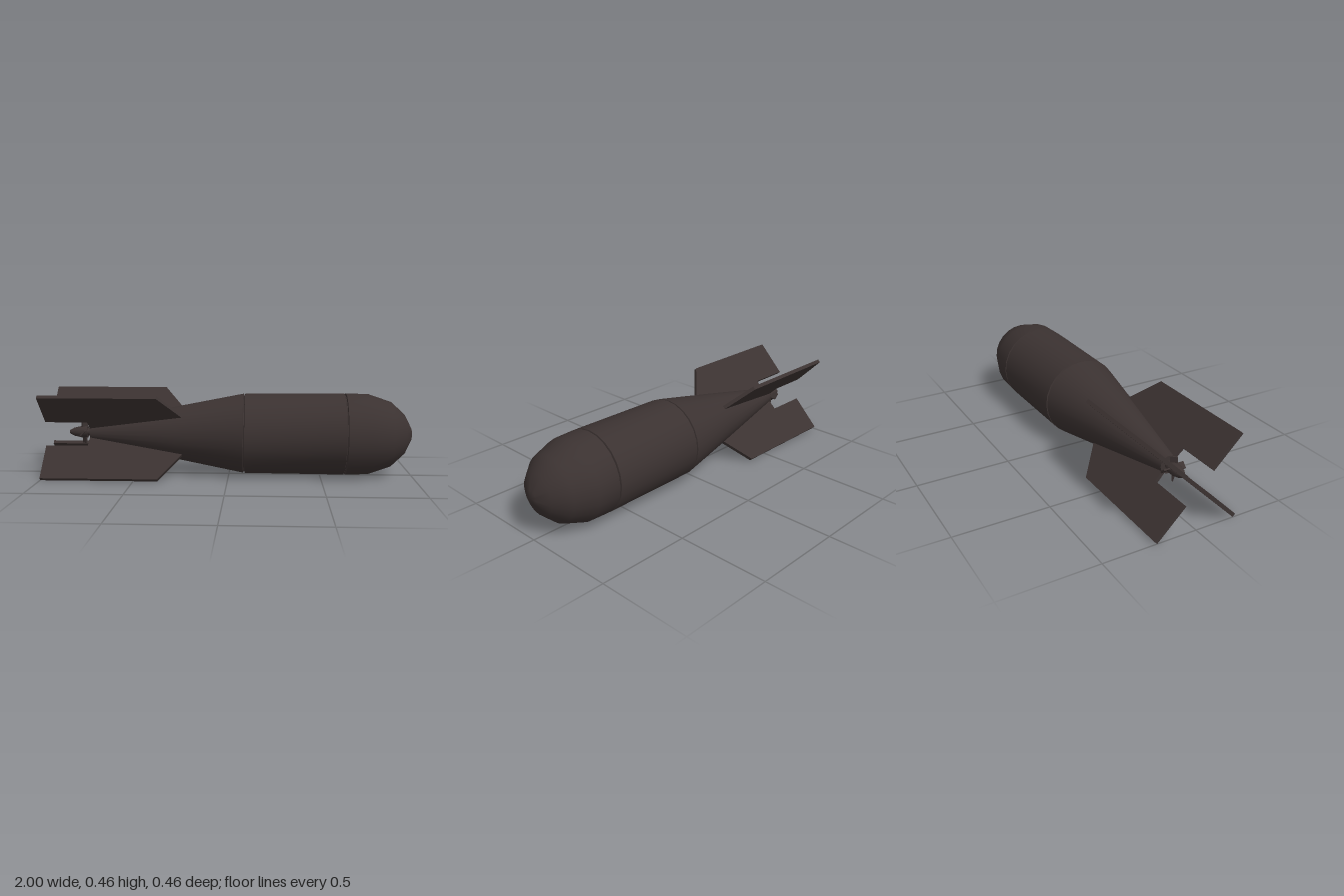
import * as THREE from 'three';
import { toCreasedNormals } from 'three/addons/utils/BufferGeometryUtils.js';

export function createModel() {
  const model = new THREE.Group();
  model.name = 'finnedBomb';
  const axis = new THREE.Group();
  axis.name = 'bombAssembly';
  axis.position.y = 0.2285;
  model.add(axis);

  const darkMetal = new THREE.MeshStandardMaterial({ color: 0x3b3231 });
  darkMetal.name = 'darkMetal';

  const add = (name, geometry) => {
    const mesh = new THREE.Mesh(geometry, darkMetal);
    mesh.name = name;
    axis.add(mesh);
    return mesh;
  };

  // Turned part along x; profile points are [x, radius] from tail to nose
  const turned = (name, profile, sides = 24) => {
    const points = profile.map(([x, r]) => new THREE.Vector2(r, x));
    const geometry = new THREE.LatheGeometry(points, sides).rotateZ(-Math.PI / 2);
    return add(name, toCreasedNormals(geometry, 0.6));
  };

  // Hull sections, with lips turned inward to form the two narrow seams
  turned('tailCone', [[-0.765, 0], [-0.765, 0.047], [-0.28, 0.147], [0.08, 0.218], [0.083, 0.211], [0.083, 0.19]]);
  turned('midBody', [[0.087, 0.19], [0.087, 0.211], [0.09, 0.219], [0.626, 0.223], [0.629, 0.216], [0.629, 0.19]]);
  turned('noseCap', [[0.633, 0.19], [0.633, 0.216], [0.636, 0.223], [0.757, 0.219], [0.88, 0.177],
    [0.954, 0.109], [0.992, 0.035], [1, 0]]);
  turned('seamFiller', [[0.07, 0], [0.07, 0.209], [0.64, 0.213], [0.64, 0]]);

  // Four diagonal tail fins, notched behind the cone
  const finShape = new THREE.Shape([
    [-1, 0.101], [-0.77, 0.101], [-0.765, 0.035], [-0.25, 0.14], [-0.25, 0.152], [-0.37, 0.313], [-1, 0.313],
  ].map(([x, r]) => new THREE.Vector2(x, r)));
  for (let i = 0; i < 4; i++) {
    const geometry = new THREE.ExtrudeGeometry(finShape, { depth: 0.02, bevelEnabled: false });
    geometry.translate(0, 0, -0.01).rotateX(Math.PI / 4 + i * Math.PI / 2);
    add('tailFin', geometry);
  }

  // Arming propeller: shaft, spinner and four pitched blades
  turned('propellerShaft', [[-0.81, 0.022], [-0.76, 0.022]], 12);
  turned('propellerSpinner', [[-0.886, 0], [-0.884, 0.01], [-0.86, 0.023], [-0.82, 0.032], [-0.785, 0.032], [-0.785, 0]], 12);
  for (let i = 0; i < 4; i++) {
    const blade = new THREE.BoxGeometry(0.036, 0.04, 0.008);
    blade.rotateY(Math.PI / 4).translate(-0.802, 0.042, 0).rotateX(i * Math.PI / 2);
    add('propellerBlade', blade);
  }

  return model;
}
